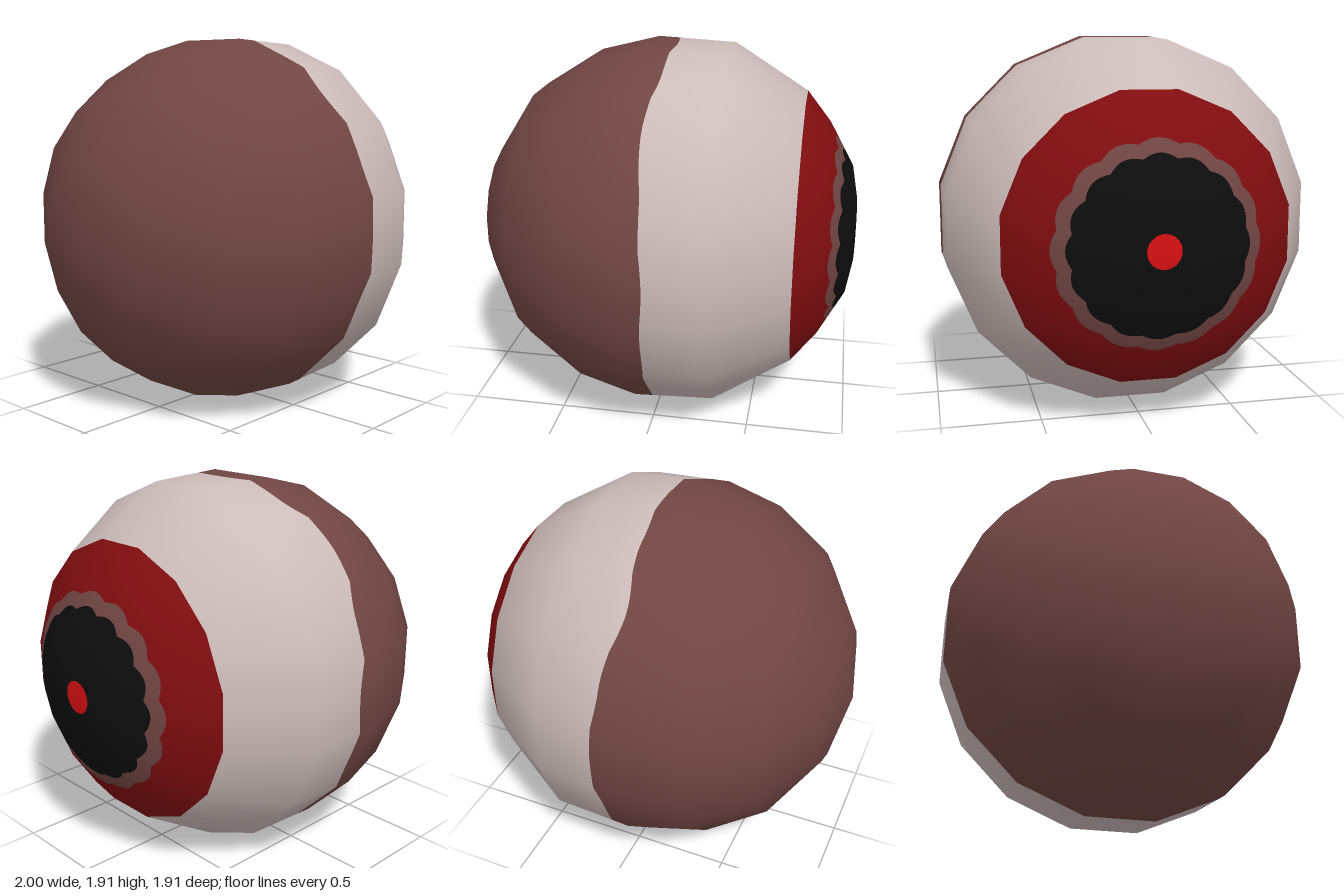
import * as THREE from 'three';

const SIDES = 16;          // facets around the x axis
const COLS = 160;          // samples around, so painted borders can wave
const STEP = (Math.PI * 2) / SIDES;

// Half profile of the ball: [x, distance from axis to the middle of a facet]
const BACK = [[-1, 0], [-0.92, 0.355], [-0.70, 0.685], [-0.40, 0.875], [-0.09, 0.953], [0.32, 0.935], [0.707, 0.705]];
const FRONT = [[0.707, 0.705], [0.835, 0.552], [0.964, 0.333], [0.997, 0.165], [1, 0]];

// Wavy border of the rear patch: x at 16 angles, from top over the front
const BORDER = [0.035, 0.025, -0.013, 0.015, 0.035, 0.015, 0.005, 0, 0, 0, 0, 0.01, 0.03, 0, -0.055, 0.005];

// Cosine of the angle to the nearest facet middle
const facetCos = (a) => Math.cos(a - Math.round(a / STEP) * STEP);

// Linear lookup in a profile, by column k
function lookup(profile, k, v) {
  for (let i = 0; i < profile.length - 1; i++) {
    const p = profile[i], q = profile[i + 1];
    if ((v - p[k]) * (v - q[k]) <= 0) {
      const t = (v - p[k]) / (q[k] - p[k]);
      return [p[0] + (q[0] - p[0]) * t, p[1] + (q[1] - p[1]) * t];
    }
  }
  return profile[profile.length - 1];
}

// Ring kinds: each maps an angle to [x, facet distance]
const fixed = (p) => () => p;
const scallop = (r, depth) => (a) =>
  lookup(FRONT, 1, (r - depth + depth * Math.abs(Math.cos(8 * a))) * facetCos(a));
const wavyBorder = (a) => {
  const s = a / STEP, i = Math.floor(s + 1e-9);
  const t = s - i, w = t * t * (3 - 2 * t);
  const x = BORDER[i % SIDES] * (1 - w) + BORDER[(i + 1) % SIDES] * w;
  return lookup(BACK, 0, x);
};

// Skin a run of rings, ordered from -x to +x
function band(name, material, rings) {
  const pos = [], nor = [], index = [], row = COLS + 1;
  const n = new THREE.Vector3();
  for (const ring of rings) {
    for (let c = 0; c <= COLS; c++) {
      const a = (c / COLS) * Math.PI * 2;
      const [x, d] = ring(a);
      const r = d / facetCos(a);
      n.set(x, r * Math.cos(a), r * Math.sin(a));
      pos.push(n.x, n.y, n.z);
      n.normalize();
      nor.push(n.x, n.y, n.z);
    }
  }
  for (let j = 0; j < rings.length - 1; j++) {
    for (let c = 0; c < COLS; c++) {
      const p = j * row + c, q = p + row;
      index.push(p, p + 1, q, p + 1, q + 1, q);
    }
  }
  const g = new THREE.BufferGeometry();
  g.setAttribute('position', new THREE.Float32BufferAttribute(pos, 3));
  g.setAttribute('normal', new THREE.Float32BufferAttribute(nor, 3));
  g.setIndex(index);
  const mesh = new THREE.Mesh(g, material);
  mesh.name = name;
  return mesh;
}

function paint(name, color) {
  const m = new THREE.MeshStandardMaterial({ color });
  m.name = name;
  return m;
}

export function createModel() {
  const mauve = paint('mauve', 0x714644);
  const white = paint('offWhite', 0xcbbbb9);
  const red = paint('darkRed', 0x800d10);
  const black = paint('black', 0x0e0e0e);
  const bright = paint('brightRed', 0xd81012);

  const irisEdge = scallop(0.5, 0.02);
  const darkEdge = scallop(0.435, 0.02);
  const pupilEdge = scallop(0.082, 0);

  const eye = new THREE.Group();
  eye.name = 'eyeball';
  eye.add(
    band('rearPatch', mauve, [...BACK.slice(0, 5).map(fixed), wavyBorder]),
    band('eyeWhite', white, [wavyBorder, ...BACK.slice(5).map(fixed)]),
    band('outerIris', red, [fixed(FRONT[0]), fixed(FRONT[1]), irisEdge]),
    band('irisRim', mauve, [irisEdge, darkEdge]),
    band('darkIris', black, [darkEdge, fixed(FRONT[2]), fixed(FRONT[3]), pupilEdge]),
    band('pupil', bright, [pupilEdge, fixed(FRONT[4])]),
  );
  eye.position.y = 0.953;

  const model = new THREE.Group();
  model.name = 'model';
  model.add(eye);
  return model;
}
